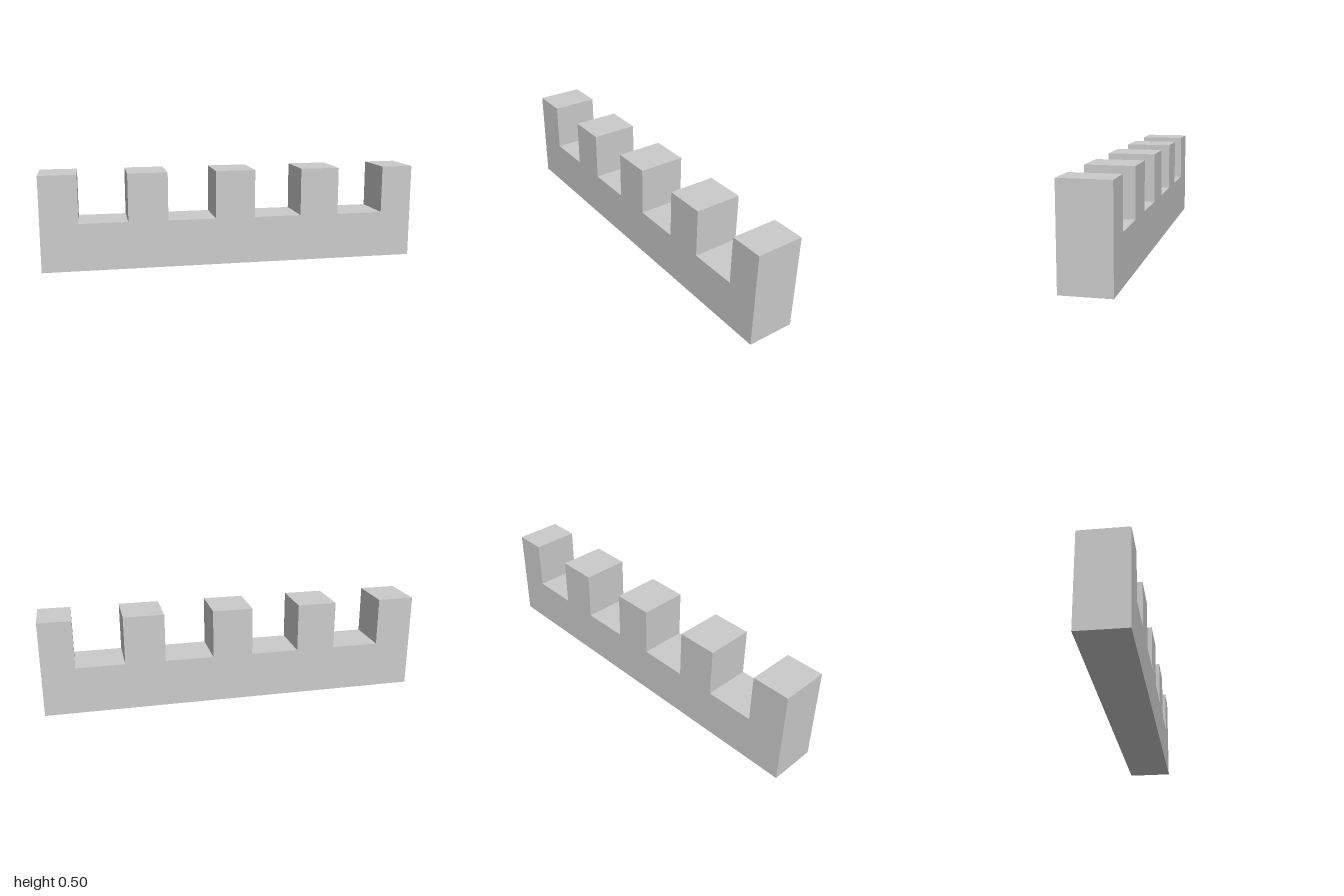
import * as THREE from 'three';

const DEPTH = 0.247;
const WALL_TOP = 0.248;
const MERLON_TOP = 0.5;
// left and right edge of each merlon along x
const MERLONS = [[-1, -0.806], [-0.555, -0.348], [-0.096, 0.115], [0.368, 0.578], [0.83, 1]];

export function createModel() {
  const group = new THREE.Group();
  group.name = 'battlement';

  // crenellated outline: flat base, then merlons and gaps from right to left
  const outline = new THREE.Shape();
  outline.moveTo(-1, 0);
  outline.lineTo(1, 0);
  [...MERLONS].reverse().forEach(([x0, x1], i) => {
    if (i > 0) outline.lineTo(x1, WALL_TOP);
    outline.lineTo(x1, MERLON_TOP);
    outline.lineTo(x0, MERLON_TOP);
    if (i < MERLONS.length - 1) outline.lineTo(x0, WALL_TOP);
  });
  outline.closePath();

  const geometry = new THREE.ExtrudeGeometry(outline, { depth: DEPTH, bevelEnabled: false });
  geometry.translate(0, 0, -DEPTH / 2);

  const wall = new THREE.Mesh(
    geometry,
    new THREE.MeshStandardMaterial({ color: 0xcccccc, flatShading: true })
  );
  wall.name = 'crenellatedWall';
  group.add(wall);
  return group;
}
